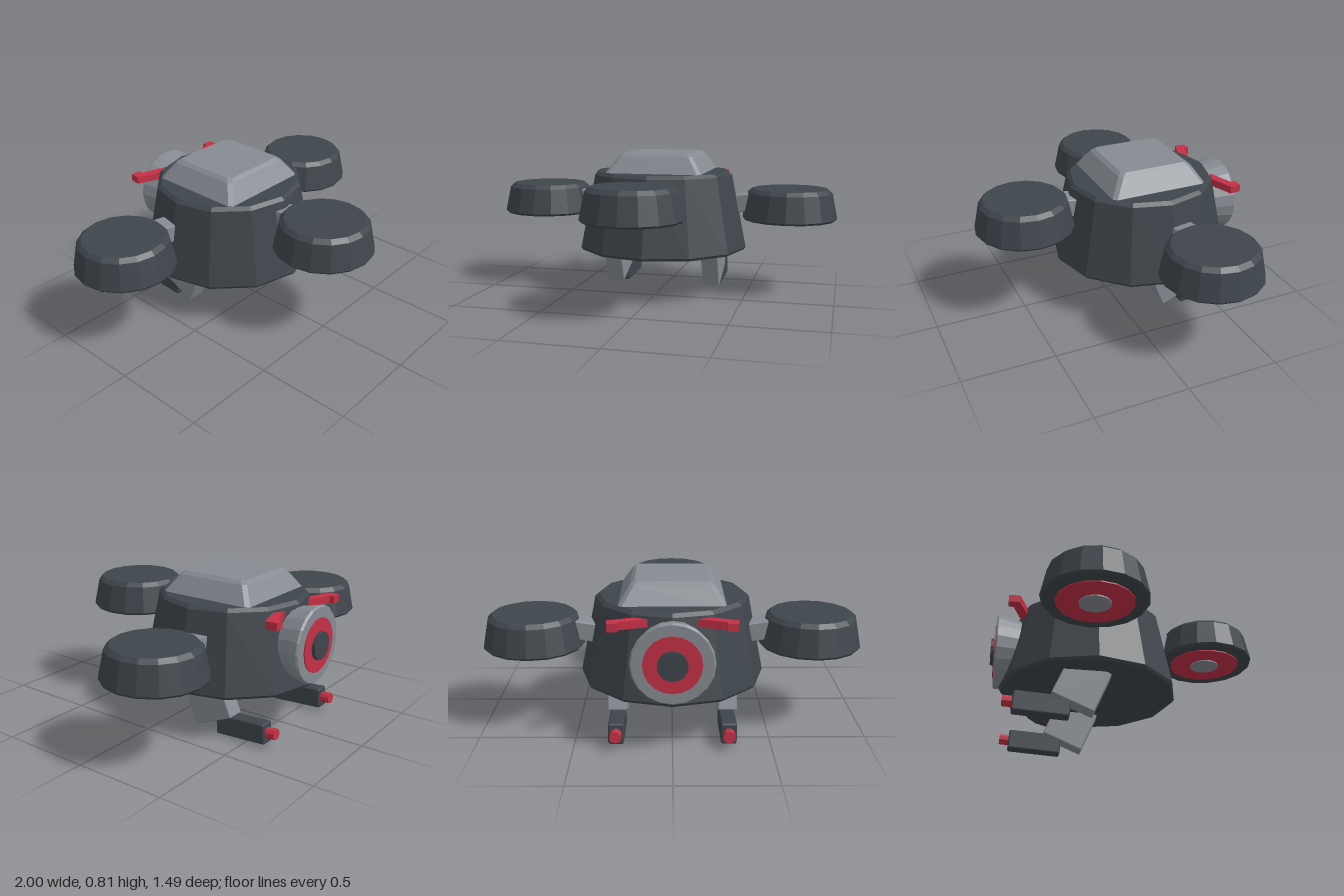
import * as THREE from 'three';
import { RoundedBoxGeometry } from 'three/addons/geometries/RoundedBoxGeometry.js';

const mat = (name, color) => {
  const m = new THREE.MeshStandardMaterial({ color });
  m.name = name;
  return m;
};

// Facet a geometry so every face is flat
function facet(g) {
  const f = g.index ? g.toNonIndexed() : g;
  f.computeVertexNormals();
  return f;
}

// Closed solid of revolution from [radius, height] pairs, bottom to top
function turned(profile, sides, start = 0) {
  const pts = profile.map(([r, y]) => new THREE.Vector2(r, y));
  return new THREE.LatheGeometry(pts, sides, start);
}

export function createModel() {
  const dark = mat('charcoal', 0x3e454b);
  const gray = mat('steel gray', 0x868b92);
  const red = mat('red', 0xc43045);
  const model = new THREE.Group();
  model.name = 'drone';

  const add = (parent, name, geo, material, x = 0, y = 0, z = 0) => {
    const m = new THREE.Mesh(geo, material);
    m.name = name;
    m.position.set(x, y, z);
    parent.add(m);
    return m;
  };

  // Tapered twelve-sided hull
  add(model, 'hull', facet(turned(
    [[0, 0.255], [0.48, 0.255], [0.49, 0.27], [0.405, 0.685], [0.385, 0.703], [0, 0.703]], 12)),
    dark, 0, 0, -0.2);

  // Roof: square frustum with narrow chamfered corners
  const roof = turned([[0, 0.68], [0.275, 0.68], [0.28, 0.69], [0.212, 0.795], [0.19, 0.812], [0, 0.812]], 8, Math.PI / 8);
  const p = roof.attributes.position;
  const snap = (v, r) => Math.sign(v) * (Math.abs(v) / r < 0.5 ? r - 0.02 : r);
  for (let i = 0; i < p.count; i++) {
    const x = p.getX(i), z = p.getZ(i), r = Math.hypot(x, z);
    if (r > 0.01) { p.setX(i, snap(x, r)); p.setZ(i, snap(z, r)); }
  }
  add(model, 'roof', facet(roof), gray, 0, 0, -0.2);

  // Rotor pods, each with a red underside disc, hub and strut to the hull
  const podGeo = facet(turned([[0, 0], [0.258, 0], [0.268, 0.012], [0.238, 0.155], [0.215, 0.177], [0, 0.177]], 16));
  const discGeo = facet(new THREE.CylinderGeometry(0.195, 0.195, 0.016, 16));
  const hubGeo = facet(new THREE.CylinderGeometry(0.08, 0.08, 0.03, 16));
  const strutGeo = new RoundedBoxGeometry(0.125, 0.1, 0.2, 1, 0.008);
  [
    ['leftPod', 0.73, 0.432, -0.255, Math.PI / 2],
    ['rightPod', -0.73, 0.432, -0.255, -Math.PI / 2],
    ['frontPod', 0, 0.503, 0.475, 0],
  ].forEach(([name, x, y, z, turn]) => {
    const pod = new THREE.Group();
    pod.name = name;
    pod.position.set(x, y, z);
    pod.rotation.y = turn;
    add(pod, 'podShell', podGeo, dark);
    add(pod, 'podDisc', discGeo, red, 0, 0.002, 0);
    add(pod, 'podHub', hubGeo, gray, 0, 0.002, 0);
    add(pod, 'podStrut', strutGeo, gray, 0, 0.092, -0.25).rotation.x = -0.15;
    model.add(pod);
  });

  // Rear thruster, turned so that its open end faces backward
  const thruster = new THREE.Group();
  thruster.name = 'thruster';
  thruster.position.set(0, 0.488, -0.5);
  thruster.rotation.x = -Math.PI / 2;
  add(thruster, 'thrusterHousing', facet(turned([[0, 0], [0.16, 0], [0.208, 0.21], [0.2, 0.221], [0, 0.221]], 20)), gray);
  add(thruster, 'thrusterRing', facet(new THREE.CylinderGeometry(0.145, 0.145, 0.02, 20)), red, 0, 0.217, 0);
  add(thruster, 'thrusterCore', facet(new THREE.CylinderGeometry(0.075, 0.075, 0.04, 16)), dark, 0, 0.225, 0);
  model.add(thruster);

  // Hooked fins, legs and feet on both sides
  const legGeo = new RoundedBoxGeometry(0.1, 0.235, 0.238, 1, 0.008);
  const footGeo = new RoundedBoxGeometry(0.08, 0.11, 0.295, 1, 0.01);
  const tipGeo = facet(new THREE.CylinderGeometry(0.03, 0.03, 0.07, 10).rotateX(Math.PI / 2));
  for (const s of [1, -1]) {
    const side = s > 0 ? 'left' : 'right';
    const outline = [[0.12, 0.59], [0.19, 0.56], [0.32, 0.605], [0.315, 0.665], [0.262, 0.665], [0.262, 0.637]];
    const finShape = new THREE.Shape(outline.map(([x, z]) => new THREE.Vector2(s * x, z)));
    const finGeo = new THREE.ExtrudeGeometry(finShape, { depth: 0.04, bevelEnabled: false });
    finGeo.rotateX(-Math.PI / 2);
    add(model, side + 'Fin', finGeo, red, 0, 0.635, 0);

    add(model, side + 'Leg', legGeo, gray, s * 0.29, 0.183, -0.267).rotation.x = 0.4;

    const foot = new THREE.Group();
    foot.name = side + 'Foot';
    foot.position.set(s * 0.285, 0.067, -0.467);
    foot.rotation.x = 0.06;
    add(foot, 'footBlock', footGeo, dark);
    add(foot, 'footNozzle', tipGeo, red, 0, 0.002, -0.163);
    model.add(foot);
  }
  return model;
}
